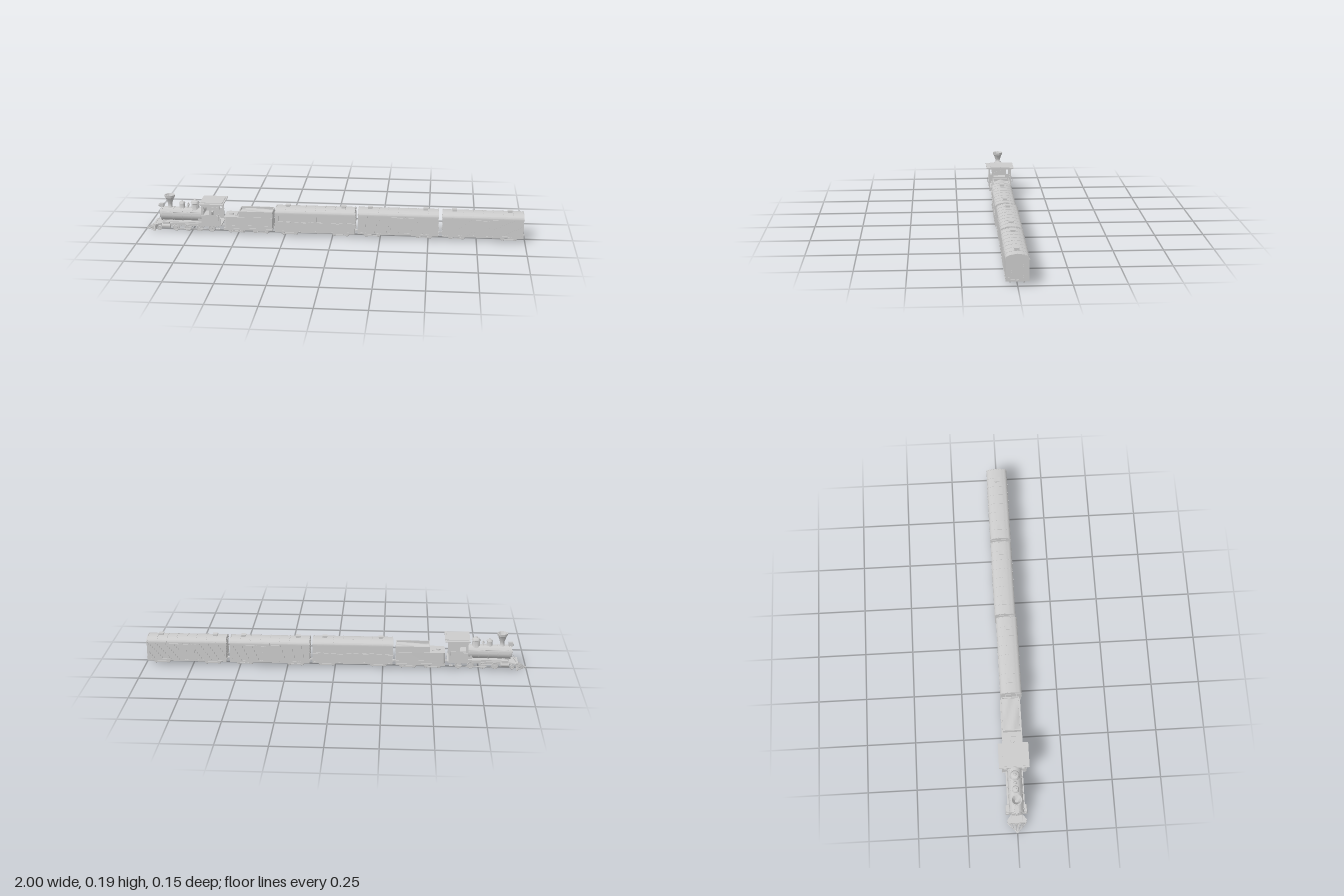
import * as THREE from 'three';
import { mergeGeometries, toCreasedNormals } from 'three/addons/utils/BufferGeometryUtils.js';

const grey = new THREE.MeshStandardMaterial({ color: 0xcccccc, side: THREE.DoubleSide });

// ---- helpers ----
const add = (group, name, geo) => {
  const mesh = new THREE.Mesh(geo, grey);
  mesh.name = name;
  group.add(mesh);
  return mesh;
};
const box = (x, y, z, w, h, d) => new THREE.BoxGeometry(w, h, d).translate(x, y, z);
const cylX = (x, y, z, r, len, seg = 24) => new THREE.CylinderGeometry(r, r, len, seg).rotateZ(Math.PI / 2).translate(x, y, z);
const cylZ = (x, y, z, r, len, seg = 20) => new THREE.CylinderGeometry(r, r, len, seg).rotateX(Math.PI / 2).translate(x, y, z);
const lathe = (x, y, pts) => toCreasedNormals(
  new THREE.LatheGeometry(pts.map(p => new THREE.Vector2(...p)), 24), 0.6).translate(x, y, 0);
const poly = pts => new THREE.Shape(pts.map(p => new THREE.Vector2(...p)));
const extrude = (shape, depth) => new THREE.ExtrudeGeometry(shape, { depth, bevelEnabled: false, curveSegments: 12 });
const rod = (pts, r) => new THREE.TubeGeometry(new THREE.CatmullRomCurve3(pts.map(p => new THREE.Vector3(...p)), false, 'catmullrom', 0), 8, r, 6);
const merge = list => mergeGeometries(list.map(g => (g.index ? g.toNonIndexed() : g)));
const both = fn => [1, -1].flatMap(s => fn(s));

// Upright panel in the XY plane with rectangular windows [x0, x1, y0, y1]
function panel(x0, x1, y0, y1, holes, z, depth) {
  const s = poly([[x0, y0], [x1, y0], [x1, y1], [x0, y1]]);
  s.holes = holes.map(([a, b, c, d]) => poly([[a, c], [a, d], [b, d], [b, c]]));
  return extrude(s, depth).translate(0, 0, z - depth / 2);
}

// Curved roof section, used for the roof skin and its ribs
function roofGeo(x, len, half, base, rise) {
  const pts = [];
  for (let i = 0; i <= 16; i++) {
    const a = Math.PI * i / 16;
    pts.push([half * Math.cos(a), base + rise * Math.pow(Math.sin(a), 0.85)]);
  }
  pts.push([-half, base - 0.004], [half, base - 0.004]);
  return toCreasedNormals(extrude(poly(pts), len).rotateY(Math.PI / 2), 0.5).translate(x - len / 2, 0, 0);
}

// Spoked-looking wheel pair with flanges, hubs and axle
function wheelPair(x, r, z) {
  return [cylZ(x, r + 0.004, 0, 0.004, z * 2, 8), ...both(s => [
    new THREE.TorusGeometry(r - 0.003, 0.003, 6, 24).translate(x, r + 0.004, s * z),
    cylZ(x, r + 0.004, s * z, r - 0.002, 0.003),
    cylZ(x, r + 0.004, s * (z + 0.003), r * 0.3, 0.006, 10)])];
}

// Two-axle truck with looped side frames
function truck(x) {
  const parts = [box(x, 0.022, 0, 0.02, 0.01, 0.07), ...both(s => [
    box(x, 0.024, s * 0.04, 0.11, 0.005, 0.007), box(x, 0.014, s * 0.04, 0.05, 0.005, 0.007),
    ...both(e => [box(x + e * 0.032, 0.018, s * 0.04, 0.014, 0.012, 0.008),
      box(x + e * 0.054, 0.024, s * 0.02, 0.006, 0.005, 0.04)])])];
  return merge([...parts, ...wheelPair(x - 0.032, 0.0125, 0.032), ...wheelPair(x + 0.032, 0.0125, 0.032)]);
}

// Passenger coach or planked boxcar, centred on x
function car(name, x, z, coach, hatches) {
  const g = new THREE.Group(), L = 0.42, H = L / 2, W = 0.052;
  g.name = name;
  g.position.set(x, 0, z);
  add(g, 'floorFrame', merge([box(0, 0.028, 0, L, 0.008, W * 2 + 0.004),
    ...both(s => [box(0, 0.023, s * 0.014, L - 0.02, 0.006, 0.006)])]));
  add(g, 'body', box(0, 0.078, 0, L - 0.006, 0.098, W * 2 - 0.006));
  add(g, 'roof', roofGeo(0, L, W + 0.003, 0.127, 0.024));
  const ribs = [], rivets = [];
  for (let i = 0; i <= 8; i++) {
    const rx = -H + 0.003 + i * (L - 0.006) / 8;
    ribs.push(roofGeo(rx, 0.004, W + 0.0042, 0.127, 0.0252));
    for (let j = -3; j <= 3; j++) rivets.push(box(rx, 0.127 + 0.0255 * Math.pow(1 - (j * 0.25) ** 2, 0.43), j * 0.25 * W, 0.002, 0.002, 0.002));
  }
  add(g, 'roofRibs', merge(ribs));
  add(g, 'roofRivets', merge(rivets));
  add(g, 'roofHatches', merge(hatches.flatMap(h => [box(h - x, 0.154, 0, 0.022, 0.01, 0.022), box(h - x, 0.16, 0, 0.026, 0.003, 0.026)])));
  const walls = [], trim = [];
  if (coach) {
    // Window row with a side door
    const wins = [];
    for (let i = 0; i < 10; i++) {
      const wx = -H + 0.03 + i * 0.04;
      if (i !== 6) wins.push([wx - 0.012, wx + 0.012, 0.082, 0.112]);
    }
    walls.push(...both(s => [panel(-H, H, 0.03, 0.127, wins, s * (W - 0.001), 0.005)]));
    trim.push(...both(s => [box(0, 0.076, s * (W + 0.002), L, 0.003, 0.002),
      ...wins.map(w => box((w[0] + w[1]) / 2, 0.081, s * (W + 0.002), 0.028, 0.002, 0.004)),
      ...[-1, 1].map(e => box(0.06 + e * 0.014, 0.078, s * (W + 0.002), 0.002, 0.094, 0.002))]));
  } else {
    // Vertical planks, sliding door and diagonal door braces
    walls.push(box(0, 0.078, 0, L - 0.002, 0.098, W * 2 - 0.002));
    for (let i = 0; i < 42; i++) {
      const px = -H + 0.005 + i * 0.01;
      trim.push(...both(s => [box(px, 0.078, s * W, 0.0085, 0.094, 0.002)]));
    }
    trim.push(...both(s => [box(0, 0.074, s * (W + 0.001), 0.085, 0.084, 0.003),
      box(0.04, 0.119, s * (W + 0.002), 0.18, 0.003, 0.003), box(0.04, 0.033, s * (W + 0.002), 0.18, 0.003, 0.003),
      ...[-0.042, 0, 0.042].map(dx => box(dx, 0.074, s * (W + 0.002), 0.004, 0.084, 0.004)),
      box(0.036, 0.075, s * (W + 0.003), 0.003, 0.016, 0.004),
      ...both(e => [-0.1, -0.2].map(d => box(e * d, 0.078, s * (W + 0.001), 0.004, 0.094, 0.002)))]));
  }
  // End walls: rivet lines, buffers and coupler
  trim.push(...both(e => [box(e * H, 0.128, 0, 0.003, 0.003, W * 2),
    ...both(s => [box(e * H, 0.038, s * 0.04, 0.006, 0.008, 0.006),
      ...Array.from({ length: 10 }, (_, i) => box(e * H, 0.04 + i * 0.009, s * 0.027, 0.003, 0.002, 0.002))])]));
  add(g, 'walls', merge(walls));
  add(g, 'wallTrim', merge(trim));
  add(g, 'couplers', merge(both(e => [box(e * (H + 0.001), 0.029, 0, 0.016, 0.007, 0.01)])));
  add(g, 'frontTruck', truck(-H + 0.075));
  add(g, 'rearTruck', truck(H - 0.075));
  return g;
}

function locomotive() {
  const g = new THREE.Group(), by = 0.092;
  g.name = 'locomotive';
  // Boiler, bands and smokebox door
  add(g, 'boiler', toCreasedNormals(cylX(-0.8, by, 0, 0.036, 0.23, 32), 0.6));
  add(g, 'boilerBands', merge([-0.912, -0.85, -0.80, -0.75, -0.70].map(x => cylX(x, by, 0, 0.038, 0.006, 32))));
  add(g, 'smokeboxDoor', merge([cylX(-0.918, by, 0, 0.027, 0.008), cylX(-0.923, by, 0, 0.008, 0.008, 12)]));
  add(g, 'firebox', box(-0.68, 0.07, 0, 0.07, 0.06, 0.066));
  // Stack, domes and bell along the top
  add(g, 'smokestack', lathe(-0.87, 0, [[0.017, 0.122], [0.012, 0.13], [0.011, 0.145], [0.022, 0.178], [0.026, 0.182], [0.028, 0.195], [0.023, 0.195], [0.008, 0.165], [0, 0.165]]));
  add(g, 'sandDome', lathe(-0.805, 0, [[0.019, 0.12], [0.015, 0.13], [0.014, 0.148], [0.017, 0.15], [0.013, 0.157], [0.004, 0.16], [0.003, 0.165], [0, 0.165]]));
  add(g, 'steamDome', lathe(-0.735, 0, [[0.026, 0.117], [0.021, 0.13], [0.02, 0.15], [0.024, 0.153], [0.019, 0.163], [0.008, 0.168], [0.005, 0.174], [0, 0.174]]));
  add(g, 'bell', merge([lathe(-0.772, 0, [[0.009, 0.138], [0.006, 0.143], [0.004, 0.15], [0, 0.152]]),
    ...both(s => [box(-0.772, 0.14, s * 0.011, 0.003, 0.026, 0.002)]), box(-0.772, 0.152, 0, 0.003, 0.002, 0.024)]));
  add(g, 'headlamp', merge([box(-0.915, 0.136, 0, 0.022, 0.02, 0.02), cylX(-0.928, 0.136, 0, 0.008, 0.006, 16)]));
  // Frame, running boards, cylinders and wheels
  add(g, 'frame', merge([box(-0.775, 0.036, 0, 0.34, 0.014, 0.04), box(-0.785, 0.057, 0, 0.2, 0.004, 0.088),
    box(-0.89, 0.055, 0, 0.035, 0.03, 0.04)]));
  add(g, 'cylinders', merge(both(s => [cylX(-0.885, 0.036, s * 0.043, 0.012, 0.045), box(-0.885, 0.053, s * 0.043, 0.035, 0.013, 0.018)])));
  const wheels = [[-0.925, 0.013], [-0.835, 0.019], [-0.772, 0.019], [-0.708, 0.019], [-0.644, 0.019]];
  add(g, 'wheels', merge(wheels.flatMap(([x, r]) => wheelPair(x, r, 0.03))));
  add(g, 'drivingRods', merge(both(s => [box(-0.74, 0.02, s * 0.039, 0.2, 0.004, 0.003), box(-0.81, 0.034, s * 0.043, 0.12, 0.003, 0.003)])));
  add(g, 'handrails', merge(both(s => [rod([[-0.905, 0.11, s * 0.037], [-0.69, 0.11, s * 0.037]], 0.0012),
    ...[-0.9, -0.82, -0.74].map(x => box(x, 0.11, s * 0.034, 0.003, 0.003, 0.006))])));
  // Slatted pilot, deck and braces
  add(g, 'pilotDeck', extrude(poly([[-0.955, -0.045], [-0.94, -0.05], [-0.905, -0.025], [-0.905, 0.025], [-0.94, 0.05], [-0.955, 0.045]]), 0.007)
    .rotateX(Math.PI / 2).translate(0, 0.044, 0));
  const slats = [box(-0.995, 0.008, 0, 0.01, 0.005, 0.01)];
  for (let i = -6; i <= 6; i++) {
    const t = i / 6;
    slats.push(rod([[-0.952, 0.038, t * 0.032], [-0.996 + 0.05 * Math.abs(t), 0.008, t * 0.047]], 0.0026));
  }
  slats.push(rod([[-0.945, 0.007, 0.049], [-0.997, 0.007, 0], [-0.945, 0.007, -0.049]], 0.003), box(-0.95, 0.02, 0, 0.006, 0.03, 0.07));
  add(g, 'pilot', merge(slats));
  add(g, 'pilotBraces', merge(both(s => [rod([[-0.916, 0.085, s * 0.026], [-0.948, 0.042, s * 0.026]], 0.0015)])));
  // Open-backed cab with side and front windows, flat overhanging roof
  add(g, 'cabWalls', merge([
    ...both(s => [panel(-0.692, -0.592, 0.048, 0.165, [[-0.68, -0.65, 0.108, 0.15], [-0.636, -0.604, 0.108, 0.15]], s * 0.06, 0.005)]),
    panel(-0.06, 0.06, 0.048, 0.165, [[-0.053, -0.04, 0.105, 0.15], [0.04, 0.053, 0.105, 0.15]], 0, 0.004).rotateY(Math.PI / 2).translate(-0.69, 0, 0)]));
  add(g, 'cabFloor', box(-0.64, 0.05, 0, 0.108, 0.006, 0.122));
  add(g, 'cabRoof', merge([box(-0.637, 0.1675, 0, 0.13, 0.005, 0.154), box(-0.637, 0.1715, 0, 0.115, 0.003, 0.11), box(-0.642, 0.161, 0, 0.108, 0.008, 0.13)]));
  add(g, 'cabTrim', merge(both(s => [box(-0.642, 0.102, s * 0.063, 0.1, 0.003, 0.004),
    rod([[-0.598, 0.08, s * 0.062], [-0.598, 0.084, s * 0.071], [-0.598, 0.11, s * 0.071], [-0.598, 0.114, s * 0.062]], 0.0015),
    box(-0.605, 0.03, s * 0.055, 0.02, 0.003, 0.012), box(-0.605, 0.04, s * 0.055, 0.003, 0.02, 0.01)])));
  add(g, 'drawbar', box(-0.582, 0.035, 0, 0.03, 0.006, 0.012));
  return g;
}

function tender() {
  const g = new THREE.Group();
  g.name = 'tender';
  // Water tank with rounded front corners
  const s = new THREE.Shape();
  s.moveTo(-0.318, -0.05); s.lineTo(-0.318, 0.05); s.lineTo(-0.562, 0.05);
  s.quadraticCurveTo(-0.574, 0.05, -0.574, 0.038); s.lineTo(-0.574, -0.038);
  s.quadraticCurveTo(-0.574, -0.05, -0.562, -0.05);
  add(g, 'tank', toCreasedNormals(extrude(s, 0.066).rotateX(-Math.PI / 2).translate(0, 0.03, 0), 0.5));
  add(g, 'tankTrim', merge([box(-0.446, 0.03, 0, 0.26, 0.01, 0.106), ...both(e => [
    box(-0.44, 0.095, e * 0.05, 0.24, 0.003, 0.003), box(-0.44, 0.05, e * 0.05, 0.24, 0.002, 0.003)])]));
  // Hollow coal bunker with a heap inside
  add(g, 'bunker', merge([...both(e => [box(-0.406, 0.111, e * 0.044, 0.178, 0.032, 0.005)]),
    ...[-0.493, -0.319].map(x => box(x, 0.111, 0, 0.005, 0.032, 0.09))]));
  const coal = new THREE.PlaneGeometry(0.17, 0.086, 14, 7).rotateX(-Math.PI / 2), p = coal.attributes.position;
  for (let i = 0; i < p.count; i++) p.setY(i, 0.004 * Math.sin(i * 12.9) + 0.006 * Math.cos(p.getZ(i) * 30));
  coal.computeVertexNormals();
  add(g, 'coal', coal.translate(-0.406, 0.113, 0));
  add(g, 'waterHatch', merge([new THREE.CylinderGeometry(0.012, 0.012, 0.008, 16).translate(-0.54, 0.098, 0), box(-0.513, 0.098, 0, 0.012, 0.006, 0.05)]));
  add(g, 'frontTruck', truck(-0.51));
  add(g, 'rearTruck', truck(-0.38));
  add(g, 'coupler', box(-0.312, 0.029, 0, 0.024, 0.007, 0.01));
  return g;
}

export function createModel() {
  const train = new THREE.Group();
  train.name = 'train';
  train.add(locomotive(), tender(),
    car('passengerCoach', -0.092, 0.006, true, [-0.238, 0.056]),
    car('middleBoxcar', 0.343, 0, false, [0.195, 0.484]),
    car('rearBoxcar', 0.782, 0, false, [0.634, 0.92]));
  return train;
}
